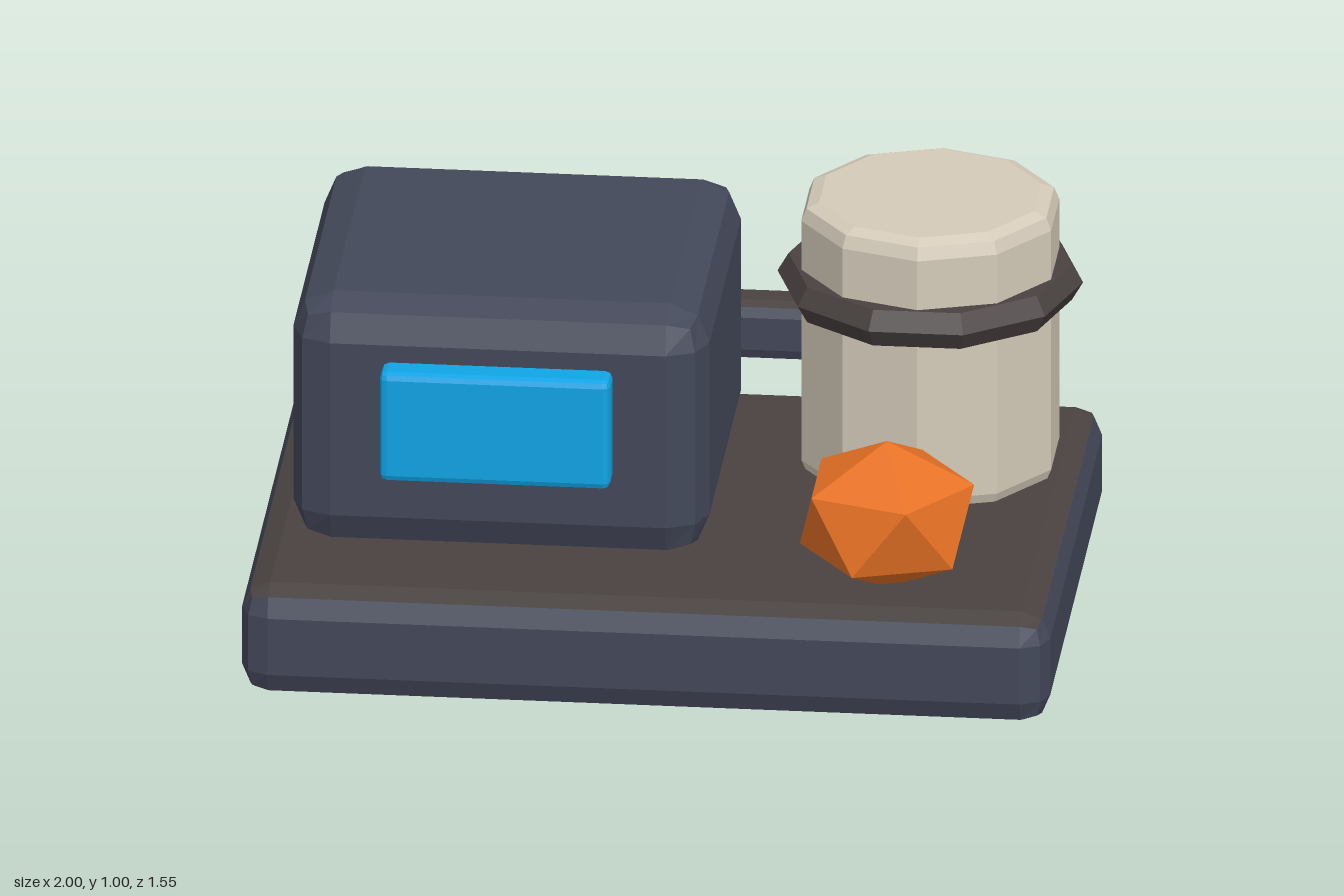
import * as THREE from 'three';
import { RoundedBoxGeometry } from 'three/addons/geometries/RoundedBoxGeometry.js';

function makeMaterial(name, color) {
  const m = new THREE.MeshStandardMaterial({ color, flatShading: true });
  m.name = name;
  return m;
}

export function createModel() {
  const slate = makeMaterial('slate', 0x434859);
  const charcoal = makeMaterial('charcoal', 0x494241);
  const blue = makeMaterial('bright blue', 0x10a4e6);
  const cream = makeMaterial('cream', 0xd4cab9);
  const orange = makeMaterial('orange', 0xea7326);
  // One material per box side: +x, -x, +y, -y, +z, -z
  const slateWithDarkTop = [slate, slate, charcoal, slate, slate, slate];

  const group = new THREE.Group();
  group.name = 'model';

  function add(name, geometry, material, x, y, z) {
    const mesh = new THREE.Mesh(geometry, material);
    mesh.name = name;
    mesh.position.set(x, y, z);
    group.add(mesh);
    return mesh;
  }

  // Bevelled box given by its lower and upper corners
  function bevelBox(name, lo, hi, radius, material) {
    const s = lo.map((v, i) => hi[i] - v);
    const c = lo.map((v, i) => (hi[i] + v) / 2);
    return add(name, new RoundedBoxGeometry(s[0], s[1], s[2], 1, radius), material, ...c);
  }

  bevelBox('base', [-1, 0, -0.645], [1, 0.29, 0.775], 0.07, slateWithDarkTop);
  bevelBox('housing', [-0.905, 0.28, -0.49], [0.125, 0.94, 0.485], 0.1, slate);
  bevelBox('screen', [-0.675, 0.505, 0.44], [-0.105, 0.795, 0.56], 0.018, blue);
  bevelBox('rearHandle', [-0.29, 0.345, -0.775], [0.29, 0.5, -0.645], 0.035, slateWithDarkTop);

  // Ten-sided canister with bevelled rims
  const profile = [
    [0, 0.27], [0.28, 0.27], [0.312, 0.283], [0.325, 0.315],
    [0.325, 0.955], [0.312, 0.987], [0.28, 1], [0, 1],
  ].map(([r, y]) => new THREE.Vector2(r, y));
  add('canister', new THREE.LatheGeometry(profile, 10), cream, 0.61, 0, -0.225);

  // Collar around the canister
  const collar = new THREE.TorusGeometry(0.323, 0.055, 6, 10);
  collar.rotateX(Math.PI / 2);
  add('collar', collar, charcoal, 0.61, 0.777, -0.225);

  // Flattened faceted knob, one corner pointing up
  const knob = new THREE.IcosahedronGeometry(0.241, 0);
  knob.rotateZ(-Math.atan2(2, 1 + Math.sqrt(5)));
  knob.scale(1, 0.81, 1);
  add('knob', knob, orange, 0.577, 0.455, 0.515);

  return group;
}
